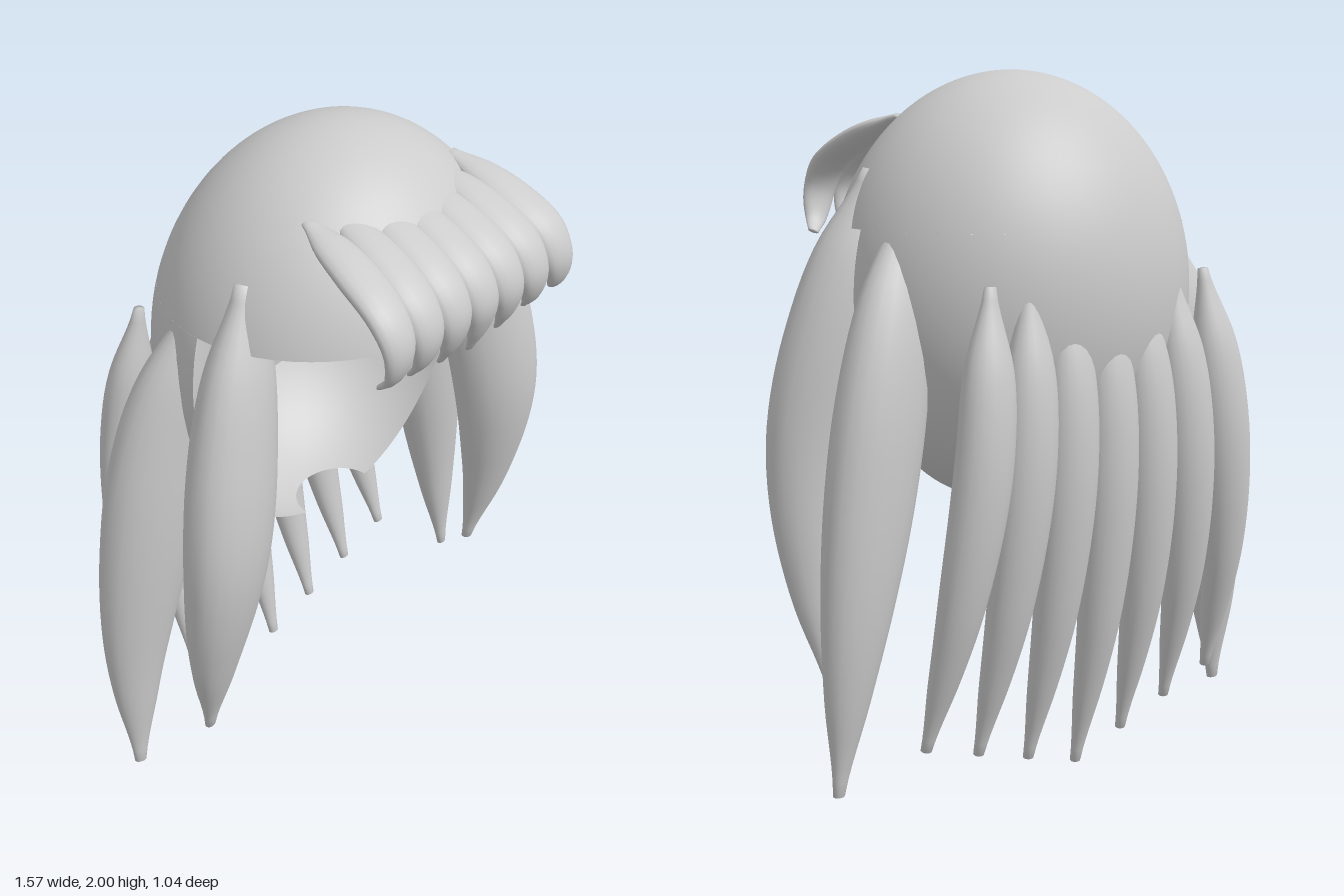
import * as THREE from 'three';

const material = new THREE.MeshStandardMaterial({ color: 0xcccccc, side: THREE.DoubleSide });

// Tapered lock of hair: oval rings swept along a curve, wide along `side`.
// `profile` holds evenly spaced radius factors from root to tip.
function strand(name, points, width, depth, profile, side = [1, 0, 0], rings = 36, sides = 20) {
  const path = new THREE.CatmullRomCurve3(points.map((p) => new THREE.Vector3(...p)));
  const taper = new THREE.SplineCurve(profile.map((r, i) => new THREE.Vector2(i, r)));
  const positions = [];
  const index = [];
  const across = new THREE.Vector3();
  const normal = new THREE.Vector3();
  const addRing = (t, scale) => {
    const centre = path.getPointAt(t);
    const tangent = path.getTangentAt(t);
    across.set(...side);
    across.addScaledVector(tangent, -across.dot(tangent)).normalize();
    normal.crossVectors(tangent, across);
    const r = taper.getPoint(t).y * scale;
    for (let j = 0; j < sides; j++) {
      const a = (j / sides) * Math.PI * 2;
      const p = centre.clone()
        .addScaledVector(across, Math.cos(a) * width * r)
        .addScaledVector(normal, Math.sin(a) * depth * r);
      positions.push(p.x, p.y, p.z);
    }
  };
  addRing(0, 0.001);
  for (let i = 0; i <= rings; i++) addRing(i / rings, 1);
  addRing(1, 0.001);
  for (let i = 0; i < rings + 2; i++) {
    for (let j = 0; j < sides; j++) {
      const k = (j + 1) % sides;
      const a = i * sides + j, b = i * sides + k;
      index.push(a, b, a + sides, b, b + sides, a + sides);
    }
  }
  const geometry = new THREE.BufferGeometry();
  geometry.setAttribute('position', new THREE.Float32BufferAttribute(positions, 3));
  geometry.setIndex(index);
  geometry.computeVertexNormals();
  const mesh = new THREE.Mesh(geometry, material);
  mesh.name = name;
  return mesh;
}

// Part of the egg-shaped scalp shell between two heights
function shell(name, yTop, yBottom, phiStart, phiLength) {
  const centreY = 1.376, ry = 0.624;
  const theta = (y) => Math.acos(THREE.MathUtils.clamp((y - centreY) / ry, -1, 1));
  const geometry = new THREE.SphereGeometry(1, 64, 32, phiStart, phiLength, theta(yTop), theta(yBottom) - theta(yTop));
  geometry.scale(0.55, ry, 0.485);
  geometry.translate(0, centreY, -0.015);
  const mesh = new THREE.Mesh(geometry, material);
  mesh.name = name;
  return mesh;
}

export function createModel() {
  const model = new THREE.Group();
  model.name = 'hair';

  // Scalp: full crown above the forehead, rear half down to the nape
  model.add(shell('crown', 2, 1.57, 0, Math.PI * 2));
  model.add(shell('backOfHead', 1.57, 0.77, Math.PI, Math.PI));

  // Seven locks fanning down the back
  const backLocks = new THREE.Group();
  backLocks.name = 'backLocks';
  for (let i = -3; i <= 3; i++) {
    const lift = 0.058 * Math.abs(i);
    backLocks.add(strand('backLock', [
      [i * 0.13, 1.44, -0.41],
      [i * 0.148, 1.0, -0.455],
      [i * 0.165, 0.52 + lift * 0.5, -0.42],
      [i * 0.18, 0.005 + lift, -0.315],
    ], 0.084, 0.066, [0.2, 0.85, 1, 0.97, 0.82, 0.55, 0.2]));
  }
  model.add(backLocks);

  // Two broad locks on each side
  for (const s of [1, -1]) {
    const sideLocks = new THREE.Group();
    sideLocks.name = s > 0 ? 'leftSideLocks' : 'rightSideLocks';
    sideLocks.add(strand('frontSideLock', [
      [s * 0.41, 1.72, 0.065],
      [s * 0.51, 1.35, 0.1],
      [s * 0.59, 0.95, 0.128],
      [s * 0.62, 0.6, 0.095],
      [s * 0.61, 0.265, 0.035],
    ], 0.15, 0.105, [0.3, 0.8, 1, 1, 0.82, 0.5, 0.13], [s, 0, 0.2]));
    sideLocks.add(strand('rearSideLock', [
      [s * 0.42, 1.62, -0.09],
      [s * 0.535, 1.25, -0.155],
      [s * 0.62, 0.85, -0.18],
      [s * 0.69, 0.45, -0.19],
      [s * 0.73, 0.05, -0.17],
    ], 0.145, 0.1, [0.3, 0.8, 1, 0.98, 0.8, 0.5, 0.13], [s, 0, -0.2]));
    model.add(sideLocks);
  }

  // Seven curled fringe locks, swept slightly to one side at the tips
  const fringe = new THREE.Group();
  fringe.name = 'fringe';
  for (let i = -3; i <= 3; i++) {
    fringe.add(strand('fringeLock', [
      [i * 0.093, 1.87, 0.15],
      [i * 0.1, 1.805, 0.33],
      [i * 0.106, 1.735, 0.455],
      [i * 0.108 + 0.005, 1.655, 0.497],
      [i * 0.113 + 0.018, 1.57, 0.48],
      [i * 0.119 + 0.032, 1.485 + 0.016 * Math.abs(i), 0.442],
    ], 0.066, 0.03, [0.3, 0.8, 1, 1, 0.9, 0.68, 0.25], [1, 0, 0], 30, 16));
  }
  model.add(fringe);

  return model;
}
